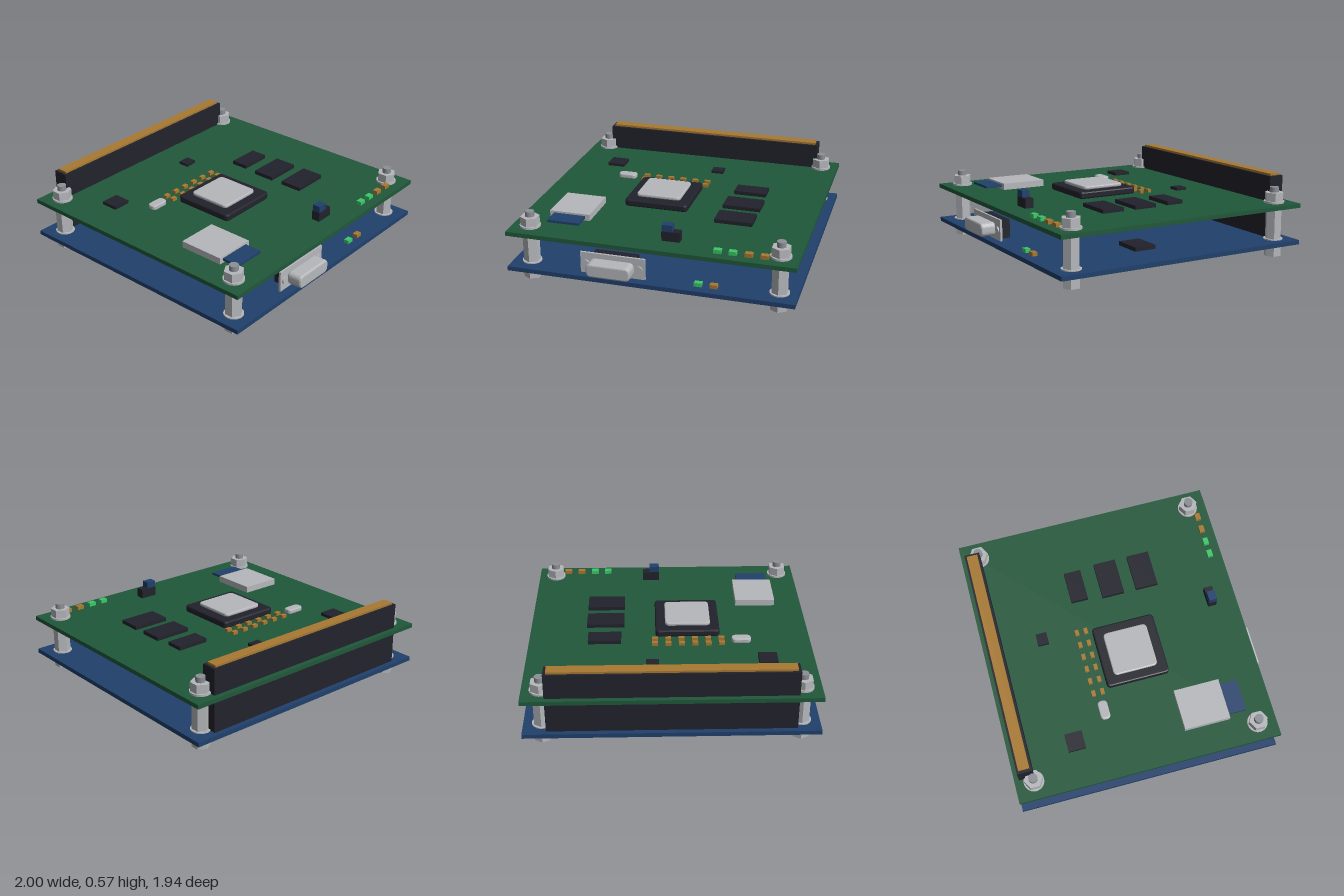
import * as THREE from 'three';

const mat = (name, color) => {
  const m = new THREE.MeshStandardMaterial({ color });
  m.name = name;
  return m;
};

export function createModel() {
  const root = new THREE.Group();
  root.name = 'stackedCircuitBoards';
  const green = mat('board green', 0x20583a);
  const blue = mat('board blue', 0x20406c);
  const black = mat('chip black', 0x22222c);
  const steel = mat('steel', 0xb6b8bc);
  const darkSteel = mat('dark steel', 0x8c9096);
  const gold = mat('gold', 0xa87a32);
  const led = mat('light green', 0x3cc868);

  const add = (name, geo, m, parent = root) => {
    const mesh = new THREE.Mesh(geo, m);
    mesh.name = name;
    parent.add(mesh);
    return mesh;
  };

  // Box given by its limits on each axis
  const box = (name, m, x0, x1, y0, y1, z0, z1) => {
    const mesh = add(name, new THREE.BoxGeometry(x1 - x0, y1 - y0, z1 - z0), m);
    mesh.position.set((x0 + x1) / 2, (y0 + y1) / 2, (z0 + z1) / 2);
    return mesh;
  };

  // Rounded rectangle slab with a small bevel, extruded along +z
  const slab = (w, h, d, r, bevel) => {
    const a = w / 2 - bevel, b = h / 2 - bevel;
    const s = new THREE.Shape();
    s.moveTo(-a + r, -b);
    s.lineTo(a - r, -b);
    s.quadraticCurveTo(a, -b, a, -b + r);
    s.lineTo(a, b - r);
    s.quadraticCurveTo(a, b, a - r, b);
    s.lineTo(-a + r, b);
    s.quadraticCurveTo(-a, b, -a, b - r);
    s.lineTo(-a, -b + r);
    s.quadraticCurveTo(-a, -b, -a + r, -b);
    const g = new THREE.ExtrudeGeometry(s, {
      depth: d - 2 * bevel, bevelEnabled: true, bevelThickness: bevel,
      bevelSize: bevel, bevelSegments: 2, curveSegments: 5,
    });
    return g.translate(0, 0, bevel);
  };
  const flatSlab = (name, m, x0, x1, y0, y1, z0, z1, r, bevel) => {
    const g = slab(x1 - x0, z1 - z0, y1 - y0, r, bevel).rotateX(-Math.PI / 2);
    add(name, g, m).position.set((x0 + x1) / 2, y0, (z0 + z1) / 2);
  };

  // Upright cylinder or hexagonal prism
  const post = (name, m, r, y0, y1, sides, parent) => {
    let g = new THREE.CylinderGeometry(r, r, y1 - y0, sides);
    if (sides === 6) {
      g = g.toNonIndexed();
      g.computeVertexNormals();
    }
    add(name, g, m, parent).position.y = (y0 + y1) / 2;
  };

  // The two boards
  box('lowerBoard', blue, -1, 1, 0.087, 0.118, -0.97, 0.92);
  box('upperBoard', green, -1, 1, 0.35, 0.38, -0.97, 0.92);

  // Stacking connector through the upper board
  box('stackingConnector', black, -0.84, 0.84, 0.118, 0.56, -0.935, -0.825);
  box('connectorContacts', gold, -0.82, 0.82, 0.56, 0.575, -0.92, -0.842);

  // Corner standoffs with washers, nuts and bolt ends
  for (const x of [-0.873, 0.873]) {
    for (const z of [-0.837, 0.782]) {
      const g = new THREE.Group();
      g.name = 'standoff';
      g.position.set(x, 0, z);
      root.add(g);
      post('foot', steel, 0.062, 0, 0.087, 6, g);
      post('lowerWasher', steel, 0.068, 0.118, 0.126, 24, g);
      post('spacer', steel, 0.058, 0.126, 0.35, 6, g);
      post('upperWasher', steel, 0.072, 0.38, 0.394, 24, g);
      post('nut', steel, 0.067, 0.394, 0.455, 6, g);
      post('boltEnd', darkSteel, 0.032, 0.455, 0.492, 12, g);
    }
  }

  // Processor with metal lid
  flatSlab('processor', black, -0.36, 0.1, 0.38, 0.43, -0.173, 0.285, 0.02, 0.01);
  flatSlab('processorLid', steel, -0.295, 0.03, 0.43, 0.455, -0.107, 0.215, 0.025, 0.008);

  // Black chips: x0, x1, z0, z1, bottom, top
  for (const [x0, x1, z0, z1, y0, y1] of [
    [0.325, 0.595, 0.225, 0.39, 0.38, 0.407],
    [0.325, 0.595, -0.03, 0.135, 0.38, 0.407],
    [0.345, 0.58, -0.26, -0.135, 0.38, 0.407],
    [-0.74, -0.61, -0.555, -0.43, 0.38, 0.402],
    [0.08, 0.17, -0.575, -0.495, 0.38, 0.4],
    [-0.7, -0.56, 0.35, 0.45, 0.118, 0.142],
    [0.49, 0.7, 0.04, 0.2, 0.118, 0.147],
  ]) box('chip', black, x0, x1, y0, y1, z0, z1);

  // Card slot with inserted card
  box('cardSlot', steel, -0.8, -0.507, 0.38, 0.427, 0.272, 0.602);
  box('memoryCard', blue, -0.77, -0.54, 0.397, 0.414, 0.55, 0.73);

  // Crystal can
  flatSlab('crystal', steel, -0.577, -0.44, 0.38, 0.415, -0.275, -0.205, 0.022, 0.008);

  // Two rows of capacitors
  for (let i = 0; i < 6; i++) {
    const x = -0.37 + i * 0.095;
    for (const z of [-0.28, -0.215])
      box('capacitor', gold, x - 0.021, x + 0.021, 0.38, 0.403, z - 0.014, z + 0.014);
  }

  // Indicator lights on both boards
  for (const [x, y, m] of [
    [0.464, 0.38, led], [0.566, 0.38, led], [0.673, 0.38, gold], [0.778, 0.38, gold],
    [0.335, 0.118, led], [0.442, 0.118, gold],
  ]) box('indicator', m, x - 0.026, x + 0.026, y, y + 0.027, 0.815, 0.853);

  // Slide switch
  box('switchBase', black, 0.06, 0.187, 0.38, 0.448, 0.702, 0.763);
  box('switchKnob', blue, 0.062, 0.135, 0.448, 0.495, 0.704, 0.761);

  // Serial port: housing, flange, shell and screws
  box('portHousing', black, -0.41, -0.1, 0.118, 0.25, 0.75, 0.842);
  box('portFlange', steel, -0.485, -0.027, 0.118, 0.27, 0.842, 0.858);
  add('portShell', slab(0.31, 0.097, 0.11, 0.025, 0.012), steel).position.set(-0.256, 0.19, 0.857);
  for (const x of [-0.444, -0.068]) {
    const g = new THREE.CylinderGeometry(0.024, 0.024, 0.012, 16).rotateX(Math.PI / 2);
    add('portScrew', g, steel).position.set(x, 0.192, 0.862);
  }
  return root;
}
